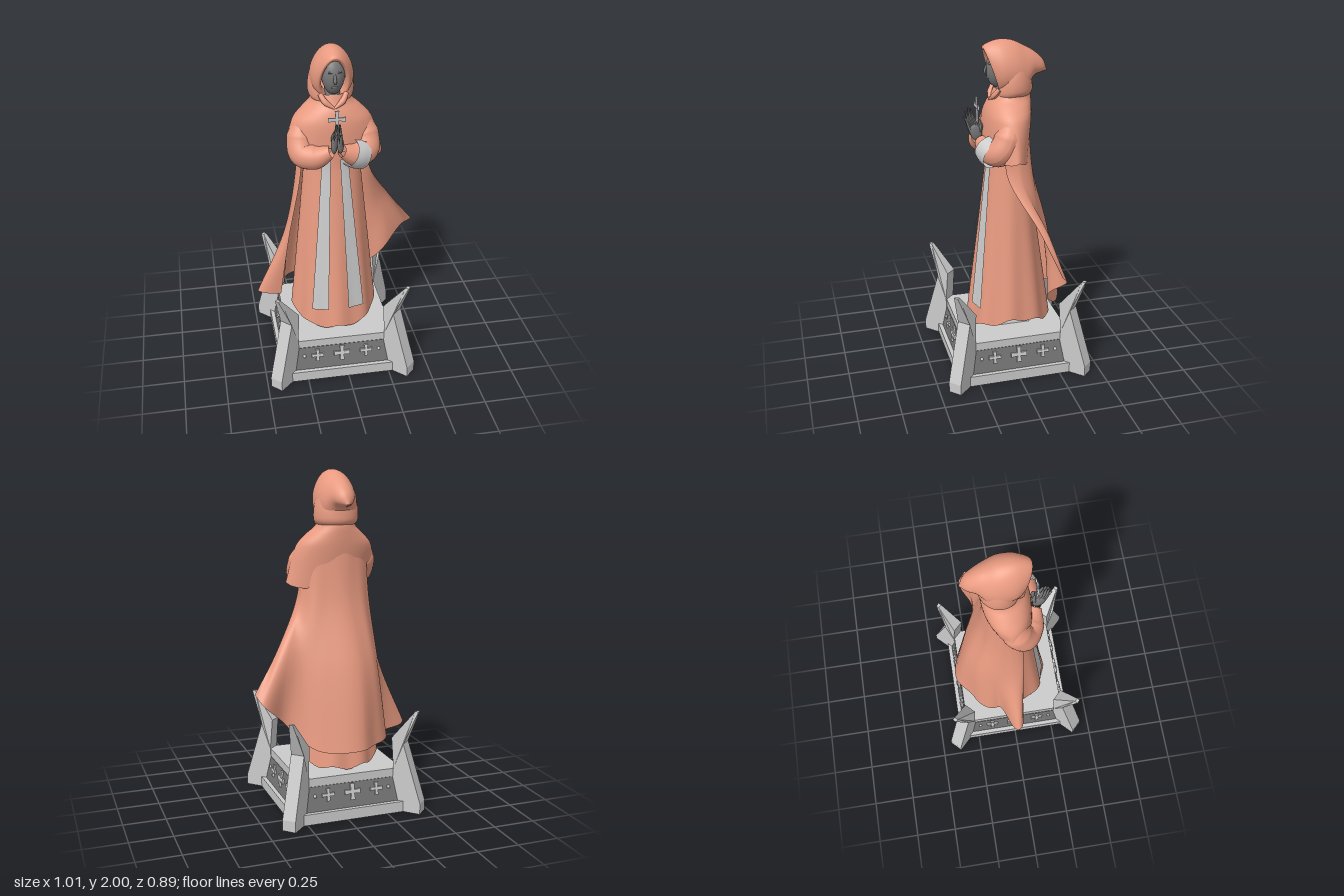
import * as THREE from 'three';

const V = (x, y, z) => new THREE.Vector3(x, y, z);
const mat = (color, side = THREE.FrontSide) => new THREE.MeshStandardMaterial({ color, side });
const stone = mat(0xcccccc), dark = mat(0x777777);
const cloth = mat(0xe89a80, THREE.DoubleSide), trim = mat(0xcccccc, THREE.DoubleSide);
const lerp = THREE.MathUtils.lerp;

function add(parent, name, geometry, material, x = 0, y = 0, z = 0) {
  const mesh = new THREE.Mesh(geometry, material);
  mesh.name = name;
  mesh.position.set(x, y, z);
  parent.add(mesh);
  return mesh;
}

// Resample rows of points with splines running from row to row
function smooth(rows, n) {
  const cols = rows[0].map((_, j) => new THREE.CatmullRomCurve3(rows.map(r => r[j])).getPoints(n));
  return Array.from({ length: n + 1 }, (_, i) => cols.map(c => c[i]));
}

// Skin rows of points; closed rows wrap round
function loft(rows, closed = false) {
  const n = rows[0].length, index = [];
  for (let i = 0; i < rows.length - 1; i++) {
    for (let j = 0; j < (closed ? n : n - 1); j++) {
      const k = (j + 1) % n, a = i * n + j, b = i * n + k, c = a + n, d = b + n;
      index.push(a, c, b, b, c, d);
    }
  }
  const g = new THREE.BufferGeometry().setFromPoints(rows.flat());
  g.setIndex(index);
  g.computeVertexNormals();
  return g;
}

// Points round a closed ring; theta 0 is the front (or the top of the hood)
const ring = (fn, n = 64) => Array.from({ length: n }, (_, j) => fn(j / n * Math.PI * 2));

// Tube whose radius follows a list
function sweep(points, radii, segments = 28, sides = 18) {
  const curve = new THREE.CatmullRomCurve3(points.map(p => V(...p)));
  const g = new THREE.TubeGeometry(curve, segments, 1, sides);
  const pos = g.attributes.position, p = V();
  for (let i = 0; i < pos.count; i++) {
    const t = Math.floor(i / (sides + 1)) / segments, f = t * (radii.length - 1);
    const k = Math.min(Math.floor(f), radii.length - 2);
    const c = curve.getPointAt(t);
    p.fromBufferAttribute(pos, i).sub(c).multiplyScalar(lerp(radii[k], radii[k + 1], f - k)).add(c);
    pos.setXYZ(i, p.x, p.y, p.z);
  }
  g.computeVertexNormals();
  return g;
}

// Cross with flared arms; the lower arm may be longer
function crossGeometry(arm, lower, thick, depth) {
  const pts = [];
  for (let k = 0; k < 4; k++) {
    const len = k === 3 ? lower : arm, a = k * Math.PI / 2;
    for (const [u, v] of [[thick, -thick], [len, -thick * 1.5], [len, thick * 1.5]]) {
      pts.push(new THREE.Vector2(u * Math.cos(a) - v * Math.sin(a), u * Math.sin(a) + v * Math.cos(a)));
    }
  }
  return new THREE.ExtrudeGeometry(new THREE.Shape(pts), { depth, bevelEnabled: false });
}

function frustum(top, bottom, h) {
  const g = new THREE.CylinderGeometry(top * Math.SQRT2, bottom * Math.SQRT2, h, 4).rotateY(Math.PI / 4).toNonIndexed();
  g.computeVertexNormals();
  return g;
}

function buildBase() {
  const base = new THREE.Group();
  base.name = 'base';
  add(base, 'plinth', new THREE.BoxGeometry(0.74, 0.065, 0.74), stone, 0, 0.0325);
  add(base, 'slopedPanels', frustum(0.32, 0.345, 0.145), dark, 0, 0.1375);
  add(base, 'topSlab', new THREE.BoxGeometry(0.635, 0.05, 0.635), stone, 0, 0.235);
  add(base, 'step', frustum(0.115, 0.14, 0.11), stone, 0, 0.315, -0.02).scale.z = 0.72;

  // Corner horn: profile in radius and height, narrowing above the knee
  const profile = [[0.4, 0], [0.586, 0], [0.586, 0.065], [0.475, 0.42], [0.555, 0.62], [0.535, 0.62], [0.4, 0.45], [0.415, 0.26]];
  const horn = new THREE.ExtrudeGeometry(new THREE.Shape(profile.map(p => new THREE.Vector2(...p))), { depth: 0.083, bevelEnabled: false });
  horn.translate(0, 0, -0.0415);
  const pos = horn.attributes.position;
  for (let i = 0; i < pos.count; i++) {
    pos.setZ(i, pos.getZ(i) * lerp(1, 0.3, Math.max(0, (pos.getY(i) - 0.43) / 0.19)));
  }
  horn.computeVertexNormals();

  for (let k = 0; k < 4; k++) {
    add(base, 'cornerHorn', horn, stone).rotation.y = Math.PI / 4 + k * Math.PI / 2;
    const side = new THREE.Group();
    side.name = 'panelOrnaments';
    side.rotation.y = k * Math.PI / 2;
    for (const [x, arm] of [[-0.15, 0.037], [0, 0.048], [0.15, 0.037]]) {
      add(side, 'panelCross', crossGeometry(arm, arm, arm * 0.2, 0.02), stone, x, 0.155, 0.322).rotation.x = -0.17;
    }
    for (const x of [-0.23, 0.23]) add(side, 'stud', new THREE.SphereGeometry(0.01, 12, 8), stone, x, 0.155, 0.331);
    base.add(side);
  }
  return base;
}

// Robe surface: an elliptical bell with folds deepening towards the hem
function robePoint(y, a, grow = 0) {
  const k = Math.max(0, (1.3 - y) / 1.02), fold = 1 + 0.035 * k * Math.cos(a * 9);
  const depth = 0.12 + (Math.cos(a) > 0 ? 0.128 : 0.14) * k;
  return V(Math.sin(a) * ((0.165 + 0.1 * k) * fold + grow), y, -0.01 + Math.cos(a) * (depth * fold + grow));
}

function buildRobe(figure) {
  const rows = [];
  for (let i = 0; i <= 30; i++) {
    rows.push(ring(a => robePoint(lerp(1.52, 0.28 + 0.065 * Math.sin(a) ** 4 + 0.012 * Math.cos(a * 9), i / 30), a), 108));
  }
  add(figure, 'robe', loft(rows, true), cloth);
  add(figure, 'robeUnderside', loft([ring(a => robePoint(0.38, a, -0.01)), ring(() => V(0, 0.38, 0))], true), cloth);

  // Two stole bands lying on the robe
  for (const s of [-1, 1]) {
    const band = [];
    for (let i = 0; i <= 24; i++) {
      const t = i / 24, y = lerp(1.36, 0.4, t), row = [];
      for (let j = 0; j <= 6; j++) {
        const x = s * lerp(lerp(0.025, 0.06, t), lerp(0.07, 0.148, t), j / 6);
        row.push(robePoint(y, Math.asin(x / (0.165 + 0.1 * Math.max(0, 1.3 - y) / 1.02)), 0.012));
      }
      band.push(row);
    }
    add(figure, 'stoleBand', loft(band), trim);
  }
}

function buildCloak(figure) {
  // Guide curves from shoulder to hem, from one front edge round the back to the other
  const guides = [
    [[-0.18, 1.48, 0.04], [-0.195, 1.25, 0.06], [-0.27, 0.85, 0.06], [-0.33, 0.43, 0.04]],
    [[-0.19, 1.5, 0.02], [-0.212, 1.25, 0.02], [-0.293, 0.85, 0.03], [-0.467, 0.45, 0.02]],
    [[-0.19, 1.56, -0.03], [-0.212, 1.25, -0.03], [-0.285, 0.85, -0.04], [-0.44, 0.43, -0.035]],
    [[-0.18, 1.58, -0.06], [-0.2, 1.25, -0.07], [-0.255, 0.85, -0.09], [-0.3, 0.42, -0.08]],
    [[-0.16, 1.6, -0.08], [-0.175, 1.25, -0.1], [-0.235, 0.85, -0.14], [-0.29, 0.41, -0.16]],
    [[-0.1, 1.64, -0.11], [-0.12, 1.25, -0.14], [-0.17, 0.85, -0.22], [-0.19, 0.4, -0.25]],
    [[-0.03, 1.67, -0.13], [-0.04, 1.25, -0.16], [-0.07, 0.85, -0.265], [-0.07, 0.4, -0.335]],
    [[0.06, 1.66, -0.12], [0.08, 1.25, -0.15], [0.13, 0.85, -0.23], [0.17, 0.4, -0.29]],
    [[0.15, 1.61, -0.09], [0.175, 1.25, -0.11], [0.24, 0.85, -0.17], [0.27, 0.46, -0.2]],
    [[0.19, 1.56, -0.05], [0.215, 1.25, -0.05], [0.33, 0.9, -0.17], [0.38, 0.58, -0.18]],
    [[0.2, 1.52, 0], [0.215, 1.27, 0], [0.385, 0.95, -0.15], [0.505, 0.7, -0.235]],
    [[0.2, 1.48, 0.03], [0.21, 1.27, 0.045], [0.385, 0.97, -0.1], [0.54, 0.755, -0.185]],
  ];
  const rows = smooth(guides.map(g => new THREE.CatmullRomCurve3(g.map(p => V(...p))).getPoints(36)), 99);
  rows.forEach((row, i) => row.forEach((p, j) => { p.z += 0.008 * (j / 36) * Math.sin(i * 0.42); }));
  add(figure, 'cloak', loft(rows), cloth);

  // Shoulder cape: rings of height, half width, half depth and centre depth; its back tucks under the cloak
  const cape = [[1.73, 0.1, 0.1, -0.04], [1.68, 0.12, 0.115, -0.035], [1.635, 0.17, 0.128, -0.022], [1.57, 0.228, 0.135, -0.01]]
    .map(([y, rx, rz, z]) => ring(a => V(rx * Math.sin(a), y, z + rz * Math.cos(a))));
  cape.push(ring(a => {
    const left = Math.max(0, Math.sin(a)), c = Math.cos(a), back = Math.max(0, -c), front = Math.max(0, c);
    const r = 1 + 0.015 * front * Math.sin(a * 7);
    return V((0.25 + 0.045 * left - 0.08 * back) * r * Math.sin(a), 1.51 - 0.15 * left - 0.1 * back - 0.07 * front,
      -0.01 + (0.145 - 0.035 * back) * r * c);
  }));
  add(figure, 'shoulderCape', loft(smooth(cape, 20), true), cloth);
}

function buildHead(figure) {
  // Hood: rings from the inner lining over the rim to the drooping tip
  const hood = [
    [0.025, 1.83, 0.1, 0.068, 0.02], [0.068, 1.825, 0.118, 0.069, 0.045], [0.083, 1.83, 0.135, 0.084, 0.045],
    [0.04, 1.85, 0.15, 0.113, 0.01], [-0.04, 1.845, 0.15, 0.12, 0], [-0.11, 1.832, 0.13, 0.103, 0],
    [-0.165, 1.858, 0.073, 0.07, 0], [-0.215, 1.838, 0.038, 0.044, -0.01], [-0.25, 1.812, 0.003, 0.003, 0],
  ].map(([z, y, ry, rx, tilt]) => ring(a =>
    V(rx * Math.sin(a) * (1 - 0.15 * Math.cos(a)), y + ry * Math.cos(a), z + tilt * Math.cos(a))));
  add(figure, 'hood', loft(smooth(hood, 48), true), cloth);

  // Cowl: cloth hanging from the hood round the neck, open at the throat
  const cowl = [[1.87, 0.112, 0.095, 1.2], [1.8, 0.128, 0.108, 0.85], [1.75, 0.132, 0.114, 0.6], [1.71, 0.126, 0.113, 0.6], [1.68, 0.1, 0.092, 0.6]]
    .map(([y, rx, rz, gap]) => Array.from({ length: 49 }, (_, j) => {
      const a = lerp(gap, Math.PI * 2 - gap, j / 48);
      return V(rx * Math.sin(a), y - 0.02 * Math.max(0, Math.cos(a)), -0.045 + rz * Math.cos(a));
    }));
  add(figure, 'cowl', loft(smooth(cowl, 18)), cloth);
  for (const s of [-1, 1]) {
    add(figure, 'collarFold', sweep([[s * 0.075, 1.735, 0.045], [s * 0.05, 1.695, 0.07], [0, 1.66, 0.09]], [0.014, 0.018, 0.006], 14, 10), cloth);
  }

  // Face narrowing towards the chin, with brow, nose and lips
  const skull = new THREE.SphereGeometry(1, 32, 24);
  const pos = skull.attributes.position;
  for (let i = 0; i < pos.count; i++) {
    const y = pos.getY(i);
    pos.setXYZ(i, pos.getX(i) * 0.066 * (1 + 0.15 * y), y * 0.105, pos.getZ(i) * 0.066);
  }
  skull.computeVertexNormals();
  const face = new THREE.Group();
  face.name = 'head';
  face.position.z = 0.009;
  figure.add(face);
  add(face, 'face', skull, dark, 0, 1.835, 0.033);
  add(face, 'neck', new THREE.CylinderGeometry(0.042, 0.05, 0.12, 20), dark, 0, 1.73, 0);
  add(face, 'nose', sweep([[0, 1.865, 0.092], [0, 1.835, 0.103], [0, 1.818, 0.104], [0, 1.808, 0.093]], [0.005, 0.008, 0.01, 0.004], 10, 10), dark);
  add(face, 'lips', new THREE.SphereGeometry(1, 14, 8), dark, 0, 1.787, 0.088).scale.set(0.018, 0.008, 0.009);
  for (const s of [-1, 1]) {
    add(face, 'brow', sweep([[s * 0.008, 1.868, 0.091], [s * 0.026, 1.873, 0.086], [s * 0.046, 1.864, 0.073]], [0.004, 0.006, 0.003], 10, 8), dark);
  }
}

function buildArms(figure) {
  for (const s of [-1, 1]) {
    add(figure, 'sleeve', sweep(
      [[s * 0.16, 1.57, 0], [s * 0.185, 1.46, 0.03], [s * 0.18, 1.395, 0.075], [s * 0.11, 1.39, 0.12], [s * 0.03, 1.43, 0.155]],
      [0.05, 0.082, 0.08, 0.072, 0.034], 32, 24), cloth);

    // Pressed palm, four fanned fingers and a thumb
    const palm = add(figure, 'palm', new THREE.SphereGeometry(1, 18, 14), dark, s * 0.018, 1.475, 0.175);
    palm.scale.set(0.018, 0.055, 0.034);
    palm.rotation.x = 0.35;
    for (let i = 0; i < 4; i++) {
      const tip = [0.2, 0.217, 0.232, 0.245][i], top = [1.615, 1.62, 1.605, 1.57][i];
      add(figure, 'finger', sweep([[s * 0.016, 1.48, 0.158 + 0.014 * i], [s * 0.013, 1.545, lerp(0.165 + 0.014 * i, tip, 0.5)], [s * 0.007, top, tip]],
        [0.012, 0.01, 0.004], 10, 8), dark);
    }
    add(figure, 'thumb', sweep([[s * 0.018, 1.47, 0.155], [s * 0.018, 1.51, 0.145], [s * 0.009, 1.555, 0.155]], [0.013, 0.012, 0.004], 10, 8), dark);
  }
  add(figure, 'cuff', sweep([[0.15, 1.375, 0.095], [0.115, 1.388, 0.115], [0.08, 1.405, 0.13]], [0.088, 0.085, 0.078], 8, 28), trim);
  add(figure, 'handCross', crossGeometry(0.05, 0.13, 0.008, 0.01), stone, 0, 1.627, 0.16);
}

export function createModel() {
  const model = new THREE.Group();
  model.name = 'robedFigure';
  const figure = new THREE.Group();
  figure.name = 'figure';
  buildRobe(figure);
  buildCloak(figure);
  buildHead(figure);
  buildArms(figure);
  model.add(buildBase(), figure);
  for (const part of model.children) part.position.x = -0.037;
  return model;
}
